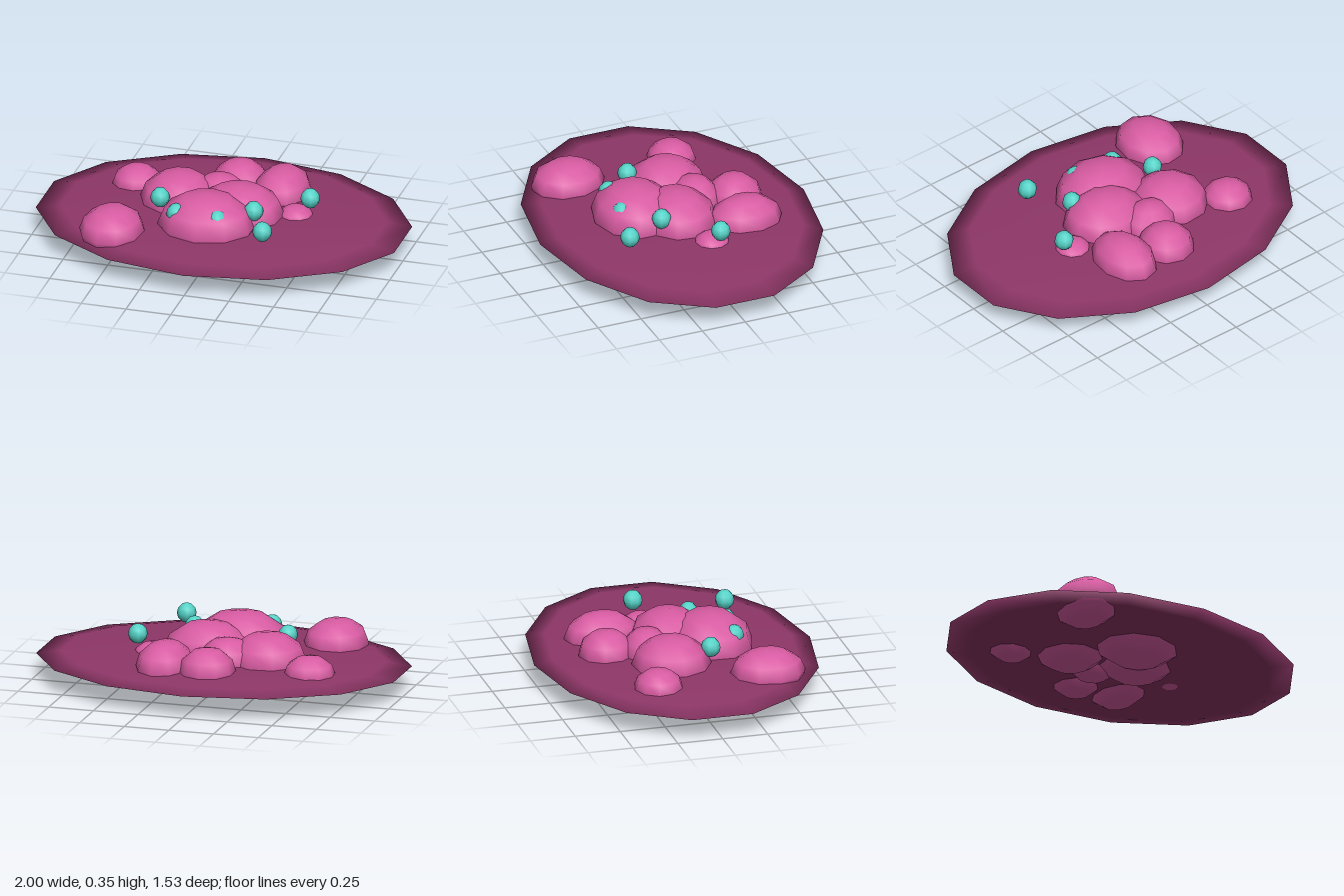
import * as THREE from 'three';

const material = (name, color) => {
  const m = new THREE.MeshStandardMaterial({ color });
  m.name = name;
  return m;
};

export function createModel() {
  const group = new THREE.Group();
  const plum = material('plum', 0x8f3768);
  const pink = material('pink', 0xd95ca3);
  const teal = material('teal', 0x55d3c8);

  // Low-poly ellipsoid with smooth normals
  const ellipsoid = (name, mat, sides, pos, radii, turn = 0) => {
    const geometry = new THREE.SphereGeometry(1, sides, 6);
    geometry.rotateY(turn);
    geometry.scale(...radii);
    const mesh = new THREE.Mesh(geometry, mat);
    mesh.name = name;
    mesh.position.set(...pos);
    group.add(mesh);
  };

  // Thin lens-shaped base with 14 sides
  ellipsoid('baseDisc', plum, 14, [0, 0.13, 0], [1.026, 0.045, 0.767], Math.PI / 2);

  // Flattened mounds: centre, radii, turn
  const mounds = [
    [[-0.035, 0.18, 0.2], [0.27, 0.175, 0.235], 0.3],
    [[0.09, 0.176, 0.01], [0.245, 0.162, 0.215], 0.2],
    [[-0.27, 0.173, -0.08], [0.215, 0.153, 0.215], 0.1],
    [[-0.07, 0.17, -0.16], [0.16, 0.135, 0.14], 0],
    [[-0.02, 0.168, -0.37], [0.155, 0.13, 0.155], 0.3],
    [[0.23, 0.168, -0.325], [0.155, 0.137, 0.21], 0.2],
    [[-0.55, 0.155, -0.23], [0.14, 0.105, 0.135], 0.4],
    [[-0.51, 0.168, 0.39], [0.175, 0.128, 0.205], 0.15],
    [[0.38, 0.15, -0.07], [0.1, 0.068, 0.1], 0.2],
  ];
  for (const [pos, radii, turn] of mounds) ellipsoid('mound', pink, 10, pos, radii, turn);

  // Small beads, two of them almost buried in the front mound
  const beads = [
    [-0.32, 0.125], [0.21, 0.15], [0.328, 0.385], [0.455, -0.09], [-0.18, 0.295], [0.055, 0.315],
  ];
  for (const [x, z] of beads) ellipsoid('bead', teal, 8, [x, 0.262, z], [0.053, 0.055, 0.053], 0.35);

  return group;
}
